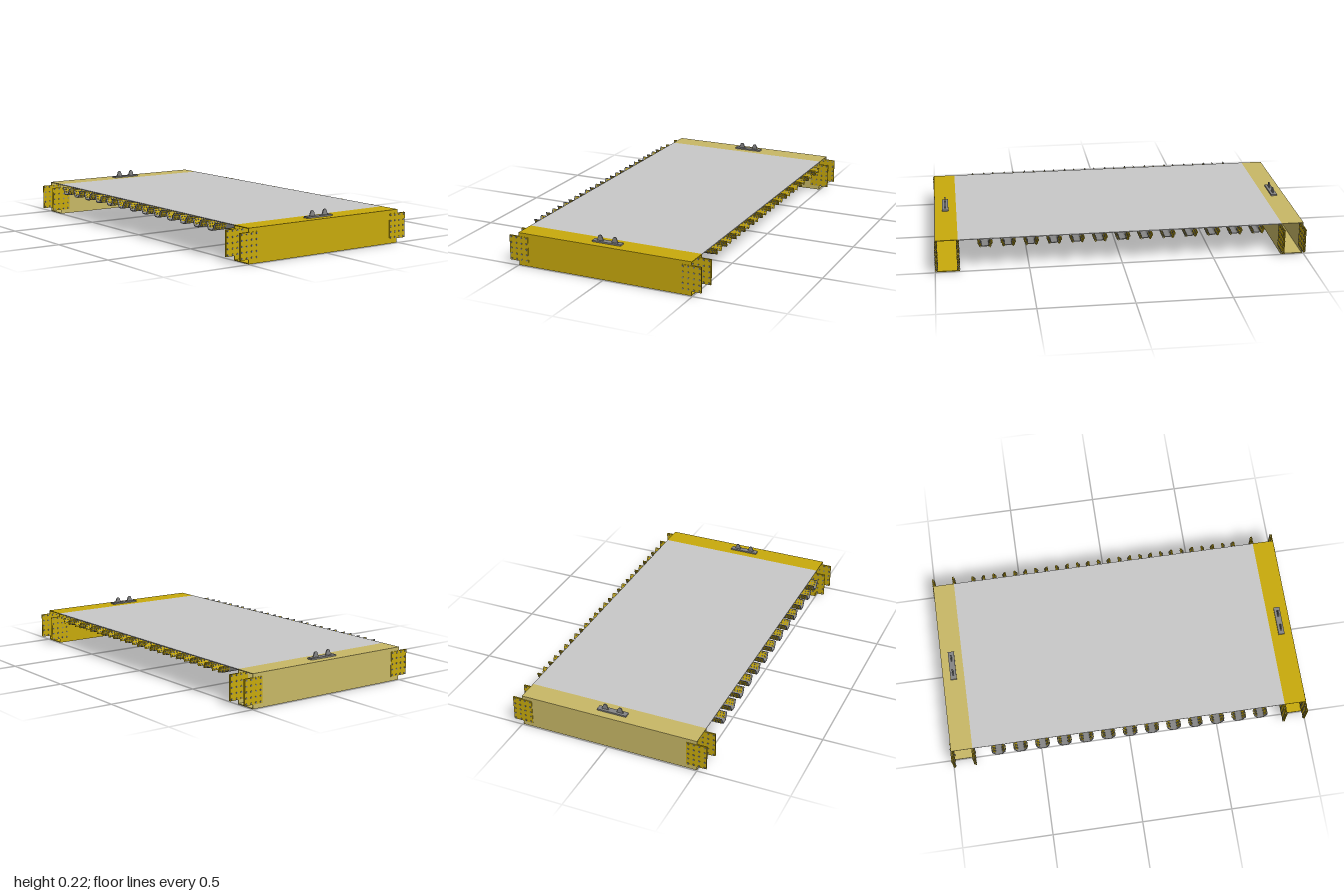
import * as THREE from 'three';
import { mergeGeometries } from 'three/addons/utils/BufferGeometryUtils.js';

const mat = (name, color) => {
  const m = new THREE.MeshStandardMaterial({ color });
  m.name = name;
  return m;
};

export function createModel() {
  const group = new THREE.Group();
  const yellow = mat('yellow paint', 0xc8aa0c);
  const tan = mat('pale yellow paint', 0xc8b866);
  const deckGrey = mat('deck grey', 0xc8c8c8);
  const steel = mat('steel grey', 0x868686);

  const X0 = -0.498, X1 = 0.494, XC = -0.002, W = X1 - X0;
  const TOP = 0.18, T = 0.004;

  const add = (name, geos, material) => {
    const mesh = new THREE.Mesh(Array.isArray(geos) ? mergeGeometries(geos) : geos, material);
    mesh.name = name;
    group.add(mesh);
    return mesh;
  };
  const box = (w, h, d, x, y, z) => new THREE.BoxGeometry(w, h, d).translate(x, y, z);

  // Deck plate
  add('deckPlate', box(W, T, 1.748, XC, TOP - T / 2, 0), deckGrey);

  // Hollow end beams with open ends
  const OUT = 0.994, IN = 0.874;
  for (const [side, material, label] of [[1, yellow, 'front'], [-1, tan, 'back']]) {
    const zc = side * (OUT + IN) / 2, d = OUT - IN;
    add(label + 'EndBeam', [
      box(W, T, d, XC, TOP - T / 2, zc),
      box(W, T, d, XC, T / 2, zc),
      box(W, TOP - 2 * T, T, XC, TOP / 2, side * (OUT - T / 2)),
      box(W, TOP - 2 * T, T, XC, TOP / 2, side * (IN + T / 2)),
    ], material);
  }

  // Splice plates on both faces of each beam web, with bolt grids
  const plates = [], bolts = [];
  for (const side of [1, -1]) for (const web of [OUT - T / 2, IN + T / 2]) {
    const z = side * web;
    for (const xs of [1, -1]) {
      const xc = XC + xs * 0.494;
      for (const f of [1, -1])
        plates.push(box(0.11, 0.136, 0.003, xc, 0.092, z + f * (T / 2 + 0.0015)));
      for (let c = 0; c < 4; c++) for (let r = 0; r < 5; r++)
        bolts.push(new THREE.CylinderGeometry(0.005, 0.005, 0.016, 8).rotateX(Math.PI / 2)
          .translate(xc + (c - 1.5) * 0.03, 0.032 + r * 0.03, z));
    }
  }
  add('beamSplicePlates', plates, yellow);
  add('beamSpliceBolts', bolts, steel);

  // Trough ribs running across under the deck
  const PITCH = 0.122, COUNT = 13;
  const ribZ = Array.from({ length: COUNT }, (_, i) => (i - (COUNT - 1) / 2) * PITCH);
  const RT = 0.037, RB = 0.02, YT = TOP - T, YB = 0.135;
  const trough = (s, zc, o, reverse) => {
    // half widths and floor shrink by the wall thickness o
    const d = reverse ? -1 : 1, t = RT - o, b = RB - o * 0.7, y = YB + o;
    s.lineTo(zc - d * t, YT);
    s.lineTo(zc - d * (b + 0.003), y + 0.009);
    s.quadraticCurveTo(zc - d * b, y, zc - d * (b - 0.008), y);
    s.lineTo(zc + d * (b - 0.008), y);
    s.quadraticCurveTo(zc + d * b, y, zc + d * (b + 0.003), y + 0.009);
    s.lineTo(zc + d * t, YT);
  };
  const RX0 = -0.54;
  const ribShape = new THREE.Shape();
  ribShape.moveTo(-RT, YT);
  trough(ribShape, 0, 0, false);
  trough(ribShape, 0, 0.0035, true);
  const ribGeo = new THREE.ExtrudeGeometry(ribShape, { depth: X1 - RX0, bevelEnabled: false, curveSegments: 4 })
    .rotateY(Math.PI / 2).translate(RX0, 0, 0);
  add('troughRibs', ribZ.map(z => ribGeo.clone().translate(0, 0, z)), steel);

  // Small bolted splices on the sloping sides of each rib
  const ribPlates = [], ribBolts = [];
  const lean = Math.atan2(RT - RB - 0.003, YT - YB - 0.009);
  for (const z of ribZ) for (const xe of [X0, X1]) for (const s of [1, -1]) {
    const place = g => g.rotateX(s * lean).translate(xe, 0.158, z + s * 0.0285);
    for (const f of [1, -1]) ribPlates.push(place(box(0.066, 0.031, 0.0025, 0, 0, f * 0.003)));
    for (const bx of [-0.024, -0.009, 0.009, 0.024]) for (const by of [-0.008, 0.008])
      ribBolts.push(place(new THREE.CylinderGeometry(0.004, 0.004, 0.016, 6)
        .rotateX(Math.PI / 2).translate(bx, by, 0)));
  }
  add('ribSplicePlates', ribPlates, yellow);
  add('ribSpliceBolts', ribBolts, steel);

  // Central girder: web notched around the ribs, plus bottom flange
  const web = new THREE.Shape();
  web.moveTo(-IN, 0.02);
  web.lineTo(-IN, YT);
  ribZ.forEach(z => trough(web, z, 0, false));
  web.lineTo(IN, YT);
  web.lineTo(IN, 0.02);
  add('centreGirderWeb', new THREE.ExtrudeGeometry(web, { depth: T, bevelEnabled: false, curveSegments: 4 })
    .rotateY(Math.PI / 2).translate(XC - T / 2, 0, 0), yellow);
  add('centreGirderFlange', box(0.1, T, 2 * IN, XC, 0.02, 0), yellow);

  // Lifting lugs on base plates
  const lug = new THREE.Shape();
  lug.moveTo(-0.019, 0);
  lug.lineTo(0.019, 0);
  lug.lineTo(0.012, 0.02);
  lug.absarc(0, 0.019, 0.0115, 0.1, Math.PI - 0.1, false);
  lug.lineTo(-0.019, 0);
  const lugGeo = new THREE.ExtrudeGeometry(lug, { depth: 0.006, bevelEnabled: false, curveSegments: 10 })
    .translate(0, TOP + 0.007, -0.003);
  for (const s of [1, -1]) {
    const z = s * 0.934;
    add('liftingLugBase', box(0.165, 0.008, 0.034, XC - 0.002, TOP + 0.004, z), steel);
    add('liftingLugs', [-0.042, 0.042].map(x => lugGeo.clone().translate(XC - 0.002 + x, 0, z)), steel);
  }
  return group;
}
